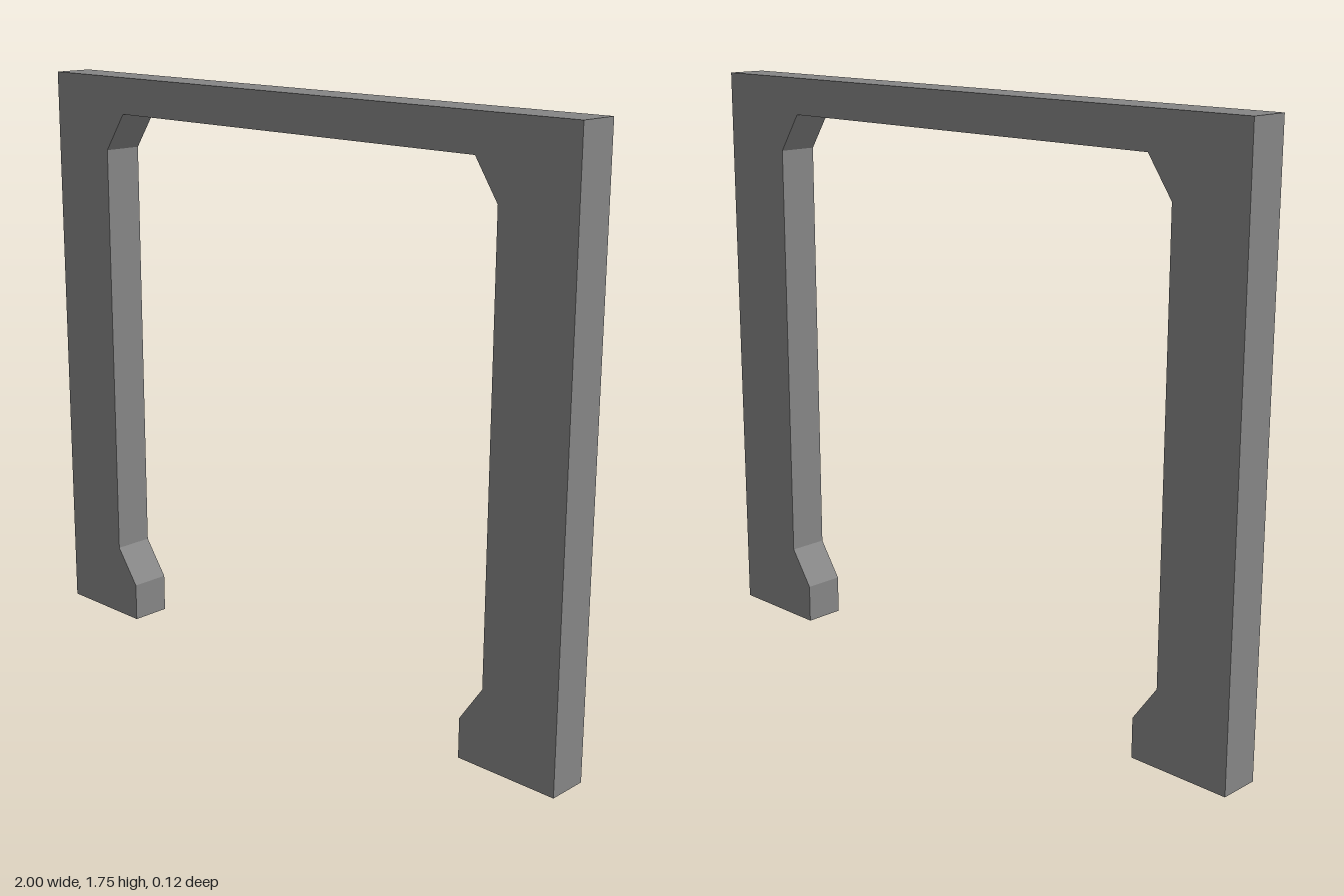
import * as THREE from 'three';

const HEIGHT = 1.755, DEPTH = 0.122;

export function createModel() {
  const group = new THREE.Group();
  group.name = 'doorFrame';
  const material = new THREE.MeshStandardMaterial({ color: 0x868686, flatShading: true });

  // Inner edge of one post, from foot to lintel: [x, y]
  const innerEdge = (post, foot) => [
    [foot, 0], [foot, 0.118], [post, 0.228], [post, 1.53], [foot, 1.645],
  ];
  const right = innerEdge(-0.765, -0.685);
  const left = innerEdge(0.755, 0.679).reverse();

  // Whole frame outline: outer rectangle open at the floor, chamfered opening
  const outline = [...right, ...left, [1, 0], [1, HEIGHT], [-1, HEIGHT], [-1, 0]];
  const shape = new THREE.Shape(outline.map(([x, y]) => new THREE.Vector2(x, y)));
  const geometry = new THREE.ExtrudeGeometry(shape, { depth: DEPTH, bevelEnabled: false });
  geometry.translate(0, 0, -DEPTH / 2);

  const frame = new THREE.Mesh(geometry, material);
  frame.name = 'frame';
  group.add(frame);
  return group;
}
